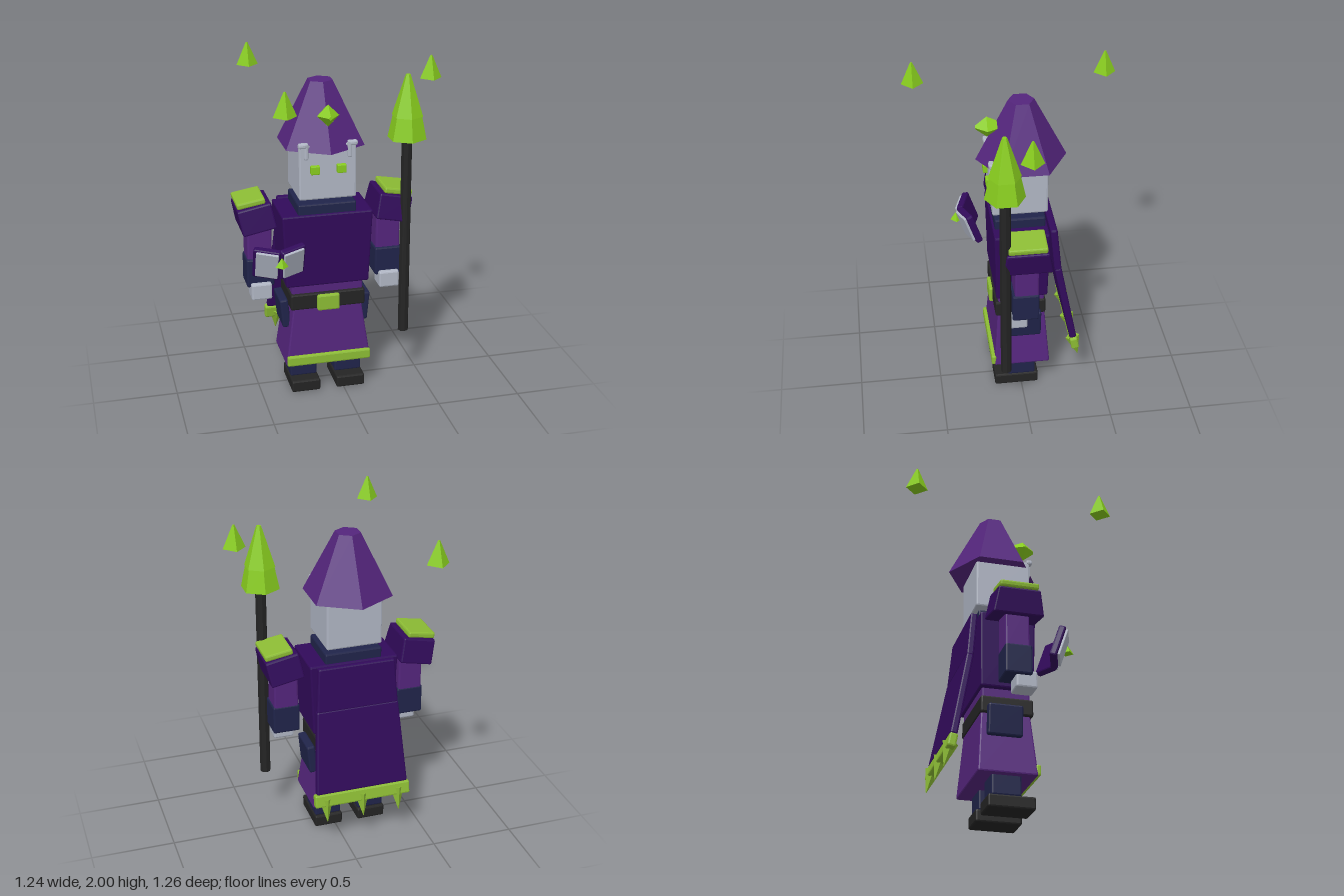
import * as THREE from 'three';
import { RoundedBoxGeometry } from 'three/addons/geometries/RoundedBoxGeometry.js';

const mat = (name, color) => new THREE.MeshStandardMaterial({ name, color, flatShading: true });

export function createModel() {
  const purple = mat('purple cloth', 0x54257c);
  const dark = mat('dark purple cloth', 0x310a5a);
  const navy = mat('navy cloth', 0x20244a);
  const black = mat('black leather', 0x242424);
  const grey = mat('pale grey', 0xb0b6c4);
  const trim = mat('green trim', 0x8cbc34);
  const crystal = mat('bright green crystal', 0x88cc1e);

  const model = new THREE.Group();
  const body = new THREE.Group();
  body.name = 'body';
  body.position.x = -0.095;
  model.add(body);

  function add(parent, name, geometry, material, x, y, z, rx = 0, ry = 0, rz = 0) {
    const mesh = new THREE.Mesh(geometry, material);
    mesh.name = name;
    mesh.position.set(x, y, z);
    mesh.rotation.set(rx, ry, rz);
    parent.add(mesh);
    return mesh;
  }

  // bevelled box; tx and tz scale the top, bx and bz the bottom
  function box(w, h, d, { tx = 1, tz = 1, bx = 1, bz = 1, r = 0.01 } = {}) {
    const g = new RoundedBoxGeometry(w, h, d, 1, Math.min(r, w / 3, h / 3, d / 3));
    const p = g.attributes.position;
    for (let i = 0; i < p.count; i++) {
      const t = p.getY(i) / h + 0.5;
      p.setX(i, p.getX(i) * (bx + (tx - bx) * t));
      p.setZ(i, p.getZ(i) * (bz + (tz - bz) * t));
    }
    g.computeVertexNormals();
    return g;
  }
  const prism = (top, bottom, h, sides) => new THREE.CylinderGeometry(top, bottom, h, sides);

  // head and hat
  add(body, 'head', box(0.335, 0.33, 0.325), grey, 0, 1.4, 0);
  add(body, 'hat', prism(0.075, 0.265, 0.37, 6), purple, 0, 1.71, -0.026);
  add(body, 'hatGem', prism(0.012, 0.064, 0.065, 4), crystal, 0, 1.735, 0.203, Math.PI / 2);
  add(body, 'hatGemBack', prism(0.064, 0.03, 0.07, 4), crystal, 0, 1.735, 0.136, Math.PI / 2);

  // torso, belt and robe
  add(body, 'collar', box(0.345, 0.09, 0.3), navy, 0, 1.16, 0);
  add(body, 'torso', box(0.54, 0.45, 0.325, { bx: 0.92, bz: 0.95 }), dark, 0, 0.918, 0);
  add(body, 'waist', box(0.43, 0.1, 0.28), purple, 0, 0.66, 0);
  add(body, 'belt', box(0.45, 0.1, 0.305), black, 0, 0.595, 0.005);
  add(body, 'buckle', box(0.135, 0.1, 0.04), trim, 0, 0.586, 0.158);
  add(body, 'skirt', box(0.52, 0.4, 0.342, { tx: 0.78, tz: 0.82 }), purple, 0, 0.385, 0);
  add(body, 'hem', box(0.51, 0.064, 0.03), trim, 0, 0.221, 0.173);

  // cape, hanging in two panels with a spiked edge
  add(body, 'capeUpper', box(0.5, 0.275, 0.042, { tx: 0.93 }), dark, 0, 1.008, -0.203, 0.095);
  add(body, 'capeLower', box(0.57, 0.515, 0.042, { tx: 0.88 }), dark, 0, 0.627, -0.264, 0.19);
  add(body, 'capeTrim', box(0.595, 0.08, 0.048), trim, 0, 0.335, -0.32, 0.19);
  for (const x of [-0.225, 0, 0.225])
    add(body, 'capeSpike', prism(0, 0.045, 0.15, 4), trim, x, 0.268, -0.336, Math.PI + 0.25);

  // paired parts
  for (const s of [-1, 1]) {
    add(body, 'eye', box(0.053, 0.05, 0.035, { r: 0.005 }), crystal, s * 0.077, 1.42, 0.172);
    add(body, 'hornStem', box(0.025, 0.1, 0.03), grey, s * 0.127, 1.53, 0.162);
    add(body, 'hornCap', box(0.05, 0.03, 0.035), grey, s * 0.148, 1.565, 0.162);

    add(body, 'boot', box(0.175, 0.074, 0.27), black, s * 0.138, 0.037, 0.03);
    add(body, 'leg', box(0.164, 0.2, 0.172), navy, s * 0.138, 0.17, 0);
    add(body, 'hipPanel', box(0.05, 0.18, 0.2), navy, s * 0.244, 0.495, -0.015, 0, 0, -s * 0.1);

    add(body, 'upperArm', box(0.146, 0.27, 0.14), purple, s * 0.388, 0.985, 0);
    add(body, 'forearm', box(0.162, 0.175, 0.156), navy, s * 0.388, 0.777, 0.006);
    add(body, 'hand', box(0.122, 0.1, 0.122), grey, s * 0.388, 0.668, 0.055);
    add(body, 'shoulder', box(0.202, 0.152, 0.296, { tz: 0.82 }), dark, s * 0.408, 1.13, 0, 0, 0, -s * 0.2);
    add(body, 'shoulderTrim', box(0.168, 0.036, 0.225), trim, s * 0.438, 1.222, 0, 0, 0, -s * 0.17);
  }

  // staff
  const staff = new THREE.Group();
  staff.name = 'staff';
  staff.position.set(0.381, 0, 0.126);
  model.add(staff);
  add(staff, 'staffShaft', prism(0.032, 0.032, 1.23, 8), black, 0, 0.945, 0);
  add(staff, 'staffCollar', prism(0.086, 0.115, 0.135, 6), crystal, 0, 1.6225, 0);
  add(staff, 'staffPoint', prism(0.014, 0.092, 0.242, 6), crystal, 0, 1.81, 0);

  // open floating book
  const book = new THREE.Group();
  book.name = 'book';
  book.position.set(-0.405, 0.905, 0.285);
  book.rotation.x = 0.33;
  model.add(book);
  for (const s of [-1, 1]) {
    const half = new THREE.Group();
    half.name = 'bookHalf';
    half.rotation.y = s * 0.36;
    book.add(half);
    add(half, 'cover', box(0.158, 0.2, 0.042), dark, s * 0.078, 0, 0);
    add(half, 'pages', box(0.13, 0.172, 0.018, { r: 0.004 }), grey, s * 0.073, 0.006, 0.026);
  }
  add(model, 'bookCrystal', prism(0, 0.037, 0.056, 4), crystal, -0.405, 0.944, 0.337);

  // floating crystals
  for (const [x, z] of [[-0.42, 0.564], [-0.42, -0.564], [0.556, 0]])
    add(model, 'floatingCrystal', prism(0.006, 0.065, 0.135, 4), crystal, x, 1.9325, z);

  return model;
}
